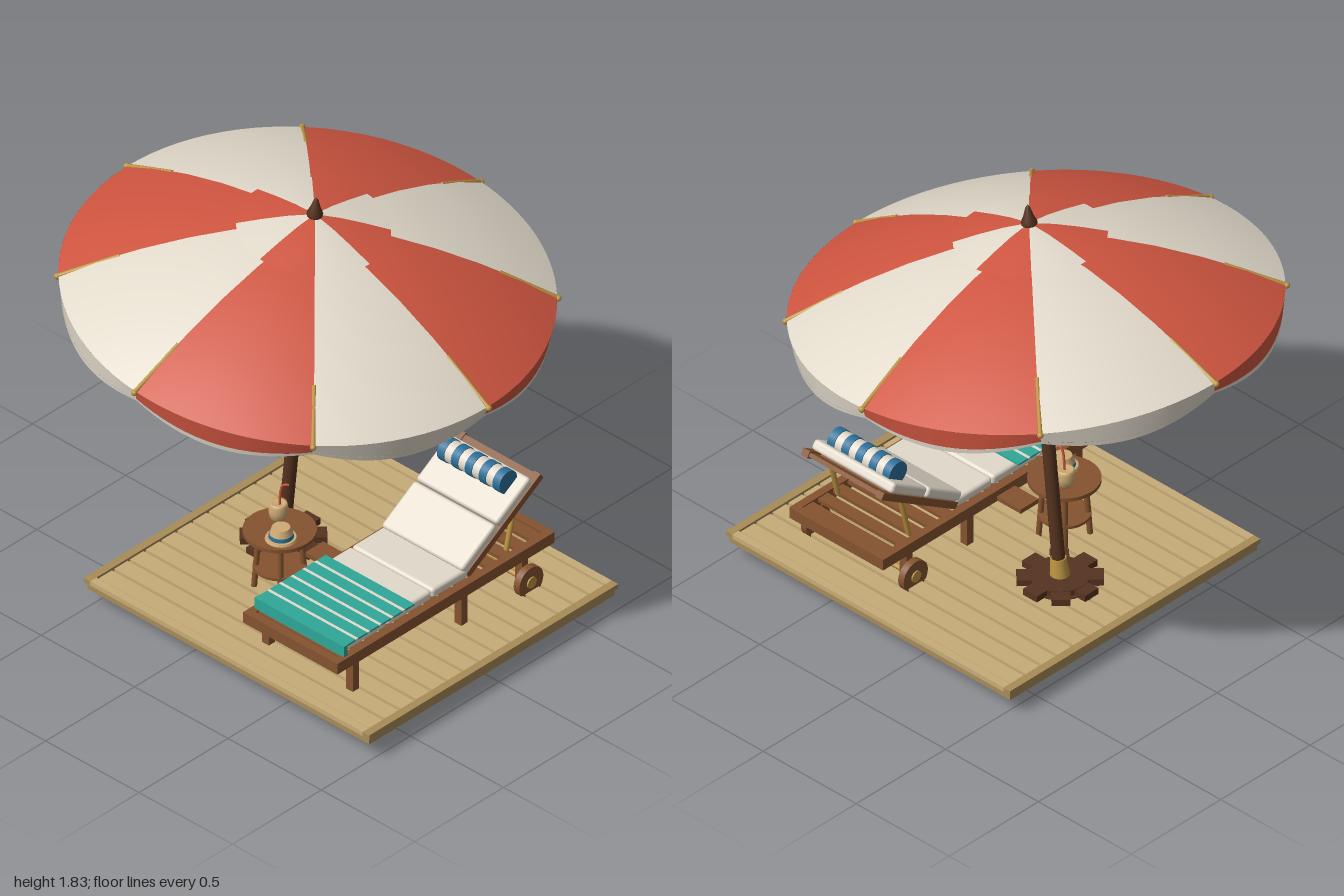
import * as THREE from 'three';
import { RoundedBoxGeometry } from 'three/addons/geometries/RoundedBoxGeometry.js';

const mat = (name, color, side = THREE.FrontSide) => {
  const m = new THREE.MeshStandardMaterial({ color, side });
  m.name = name;
  return m;
};
const V = (x, y, z) => new THREE.Vector3(x, y, z);

export function createModel() {
  const cream = mat('cream canvas', 0xe2dacb, THREE.DoubleSide);
  const red = mat('red canvas', 0xcf5540, THREE.DoubleSide);
  const wood = mat('wood', 0x85532f);
  const dark = mat('dark wood', 0x55331f);
  const gold = mat('brass', 0xbd9440);
  const tan = mat('deck boards', 0xc6ac78);
  const edge = mat('deck frame', 0xa98b58);
  const teal = mat('teal towel', 0x2fa899);
  const blue = mat('blue fabric', 0x2c7099);
  const straw = mat('straw', 0xcfab74);

  const model = new THREE.Group();
  const group = (name, parent = model) => {
    const g = new THREE.Group();
    g.name = name;
    parent.add(g);
    return g;
  };
  const add = (parent, name, geo, m, x = 0, y = 0, z = 0) => {
    const mesh = new THREE.Mesh(geo, m);
    mesh.name = name;
    mesh.position.set(x, y, z);
    parent.add(mesh);
    return mesh;
  };
  const box = (p, name, m, w, h, d, x, y, z) => add(p, name, new THREE.BoxGeometry(w, h, d), m, x, y, z);
  const cyl = (p, name, m, rt, rb, h, x, y, z, n = 20) => add(p, name, new THREE.CylinderGeometry(rt, rb, h, n), m, x, y, z);
  const bar = (p, name, m, a, b, r, n = 8) => {
    const d = b.clone().sub(a), c = a.clone().add(b).multiplyScalar(0.5);
    const mesh = cyl(p, name, m, r, r, d.length(), c.x, c.y, c.z, n);
    mesh.quaternion.setFromUnitVectors(V(0, 1, 0), d.normalize());
    return mesh;
  };

  // Deck: slab, raised frame and boards running across
  const deck = group('deck');
  const cx = 0.235, cz = 0.03;
  box(deck, 'deckSlab', edge, 1.51, 0.035, 1.38, cx, 0.085, cz);
  for (const s of [-1, 1]) {
    box(deck, 'deckFrameSide', edge, 0.035, 0.02, 1.4, cx + s * 0.7475, 0.11, cz);
    box(deck, 'deckFrameEnd', tan, 1.46, 0.02, 0.035, cx, 0.11, cz + s * 0.6825);
  }
  const boards = 15, pitch = 1.33 / boards;
  for (let i = 0; i < boards; i++)
    box(deck, 'deckBoard', tan, 1.45, 0.014, pitch - 0.014, cx, 0.108, cz - 0.665 + pitch * (i + 0.5));

  // Parasol base with a ring of weight blocks
  const base = group('parasolBase');
  base.position.x = -0.155;
  cyl(base, 'baseDrum', dark, 0.135, 0.155, 0.12, 0, 0.06, 0, 16);
  cyl(base, 'basePlate', dark, 0.12, 0.12, 0.03, 0, 0.13, 0, 16);
  for (let i = 0; i < 8; i++) {
    const a = i * Math.PI / 4;
    const block = box(base, 'weightBlock', dark, 0.07, 0.03, 0.075, Math.cos(a) * 0.135, 0.128, Math.sin(a) * 0.135);
    block.rotation.y = -a;
  }

  // Leaning parasol
  const parasol = group('parasol');
  parasol.position.set(-0.155, 0.12, 0);
  parasol.rotation.z = -0.103;
  cyl(parasol, 'lowerPole', dark, 0.027, 0.027, 0.82, 0, 0.43, 0);
  cyl(parasol, 'upperPole', wood, 0.023, 0.023, 0.8, 0, 1.2, 0);
  cyl(parasol, 'poleSocket', gold, 0.032, 0.04, 0.08, 0, 0.06, 0);
  cyl(parasol, 'poleCollar', gold, 0.033, 0.033, 0.07, 0, 0.86, 0);
  cyl(parasol, 'runnerHub', dark, 0.046, 0.03, 0.05, 0, 1.165, 0, 16);
  cyl(parasol, 'crownHub', dark, 0.04, 0.04, 0.04, 0, 1.53, 0, 16);
  const finial = [[0, 1.62], [0.03, 1.62], [0.033, 1.635], [0.022, 1.66], [0.01, 1.7], [0, 1.715]];
  add(parasol, 'finial', new THREE.LatheGeometry(finial.map(p => new THREE.Vector2(...p)), 16), dark);

  const R = 0.97, rimY = 1.266, Q = Math.PI / 4;
  const roof = [[R, rimY], [0.83, 1.342], [0.66, 1.418], [0.48, 1.485], [0.31, 1.535], [0.15, 1.565], [0.04, 1.575]]
    .map(p => new THREE.Vector2(...p));
  const cap = [[0.302, 1.568], [0.2, 1.595], [0.1, 1.617], [0, 1.63]].map(p => new THREE.Vector2(...p));
  // Valance strip between two fractions of its scalloped drop
  const valance = (start, f0, f1, grow) => {
    const g = new THREE.CylinderGeometry(R + grow, R + grow - 0.012 * (f1 - f0), 1, 16, 1, true, start, Q);
    const p = g.attributes.position;
    for (let i = 0; i < p.count; i++) {
      const a = Math.atan2(p.getX(i), p.getZ(i));
      const drop = 0.052 + 0.05 * Math.abs(Math.sin(4 * a));
      p.setY(i, rimY - drop * (p.getY(i) > 0 ? f0 : f1));
    }
    g.computeVertexNormals();
    return g;
  };
  for (let k = 0; k < 8; k++) {
    const m = k % 2 ? red : cream, start = Q - k * Q;
    add(parasol, 'canopyPanel', new THREE.LatheGeometry(roof, 12, start, Q), m);
    add(parasol, 'ventCapPanel', new THREE.LatheGeometry(cap, 12, start, Q), m);
    add(parasol, 'valance', valance(start, 0, 0.8, 0), m);
    add(parasol, 'valanceTrim', valance(start, 0.8, 1, -0.009), cream);
    // Rib, strut and brass tip on each seam
    const at = (r, y) => V(Math.cos(k * Q) * r, y, Math.sin(k * Q) * r);
    bar(parasol, 'ribInner', dark, at(0.03, 1.55), at(0.48, 1.468), 0.009);
    bar(parasol, 'ribOuter', dark, at(0.48, 1.468), at(0.76, 1.358), 0.009);
    bar(parasol, 'ribTip', gold, at(0.74, 1.378), at(0.975, 1.264), 0.009);
    add(parasol, 'ribEnd', new THREE.SphereGeometry(0.013, 10, 8), gold).position.copy(at(0.975, 1.262));
    bar(parasol, 'strut', dark, at(0.04, 1.17), at(0.5, 1.455), 0.008);
  }

  // Lounger frame
  const lounger = group('lounger');
  const lx = 0.505;
  for (const s of [-1, 1]) {
    box(lounger, 'sideRail', wood, 0.035, 0.05, 1.22, lx + s * 0.235, 0.277, 0.043);
    for (const z of [0.54, -0.07, -0.41])
      box(lounger, 'leg', wood, 0.036, 0.26, 0.036, lx + s * 0.225, 0.13, z);
    const wheel = cyl(lounger, 'wheel', wood, 0.068, 0.068, 0.03, lx + s * 0.262, 0.155, -0.41, 24);
    const hub = cyl(lounger, 'wheelHub', gold, 0.025, 0.025, 0.042, lx + s * 0.262, 0.155, -0.41, 16);
    wheel.rotation.z = hub.rotation.z = Math.PI / 2;
    bar(lounger, 'backSupport', gold, V(lx + s * 0.19, 0.29, -0.36), V(lx + s * 0.19, 0.475, -0.405), 0.011);
  }
  box(lounger, 'footRail', wood, 0.505, 0.05, 0.035, lx, 0.277, 0.637);
  box(lounger, 'headRail', wood, 0.505, 0.05, 0.035, lx, 0.277, -0.55);
  bar(lounger, 'axle', gold, V(lx - 0.26, 0.155, -0.41), V(lx + 0.26, 0.155, -0.41), 0.012);
  for (let i = 0; i < 14; i++)
    box(lounger, 'seatSlat', wood, 0.45, 0.016, 0.055, lx, 0.288, 0.58 - i * 0.083);
  box(lounger, 'sideLedge', wood, 0.13, 0.02, 0.1, 0.19, 0.265, 0.12);

  // Seat cushions
  const pad = (p, d, x, y, z) => add(p, 'cushion', new RoundedBoxGeometry(0.435, 0.045, d, 3, 0.015), cream, x, y, z);
  pad(lounger, 0.235, lx, 0.32, 0.455);
  pad(lounger, 0.25, lx, 0.32, 0.21);
  pad(lounger, 0.205, lx, 0.32, -0.02);

  // Raised backrest, local -z runs up the slope
  const back = group('backrest', lounger);
  back.position.set(lx, 0.305, -0.12);
  back.rotation.x = 0.56;
  for (const s of [-1, 1]) box(back, 'backRail', wood, 0.035, 0.03, 0.49, s * 0.2, 0.005, -0.245);
  for (let i = 0; i < 7; i++) box(back, 'backSlat', wood, 0.4, 0.018, 0.045, 0, 0.006, -0.03 - i * 0.072);
  pad(back, 0.225, 0, 0.042, -0.105);
  pad(back, 0.225, 0, 0.042, -0.335);

  // Rolled head pillow in nine bands
  for (let i = 0; i < 9; i++) {
    const w = 0.335 / 9;
    const r = i % 2 ? 0.047 : 0.05;
    cyl(lounger, 'pillowBand', i % 2 ? cream : blue, r, r, w, lx - 0.1675 + w * (i + 0.5), 0.585, -0.395, 24)
      .rotation.z = Math.PI / 2;
  }

  // Striped towel draped over the foot end
  const towel = group('towel', lounger);
  for (let i = 0; i < 11; i++) {
    const m = i % 2 ? cream : teal, d = i % 2 ? 0.014 : 0.052;
    const z = 0.588 - 0.026 - Math.floor(i / 2) * 0.066 - (i % 2 ? 0.033 : 0);
    box(towel, 'towelStripe', m, 0.475, 0.008, d, lx, 0.347, z);
  }
  box(towel, 'towelFold', teal, 0.48, 0.052, 0.02, lx, 0.326, 0.594);

  // Side table
  const table = group('sideTable');
  table.position.set(0.05, 0, 0.236);
  cyl(table, 'tableTop', wood, 0.145, 0.145, 0.016, 0, 0.376, 0, 28);
  cyl(table, 'tableApron', dark, 0.1, 0.1, 0.016, 0, 0.36, 0, 24);
  cyl(table, 'tableShelf', wood, 0.105, 0.105, 0.012, 0, 0.213, 0, 24);
  for (const sx of [-1, 1]) for (const sz of [-1, 1])
    bar(table, 'tableLeg', wood, V(sx * 0.075, 0.02, sz * 0.075), V(sx * 0.058, 0.365, sz * 0.058), 0.012, 10);

  // Drink with a bent straw
  const cup = [[0, 0.384], [0.022, 0.384], [0.036, 0.405], [0.04, 0.43], [0.037, 0.455], [0.033, 0.468], [0.028, 0.462], [0, 0.46]];
  add(table, 'drinkCup', new THREE.LatheGeometry(cup.map(p => new THREE.Vector2(...p)), 20), straw, -0.045, 0, -0.04);
  const path = new THREE.CatmullRomCurve3([V(-0.04, 0.45, -0.04), V(-0.033, 0.53, -0.04), V(-0.025, 0.555, -0.042), V(0, 0.57, -0.046)]);
  add(table, 'drinkingStraw', new THREE.TubeGeometry(path, 16, 0.005, 8), red);

  // Sun hat
  const hat = group('sunHat', table);
  hat.position.set(0.05, 0.384, 0.045);
  cyl(hat, 'hatBrim', straw, 0.06, 0.064, 0.01, 0, 0.007, 0, 24);
  cyl(hat, 'hatBand', blue, 0.048, 0.05, 0.016, 0, 0.02, 0, 24);
  cyl(hat, 'hatCrown', straw, 0.036, 0.046, 0.03, 0, 0.042, 0, 24);

  return model;
}
